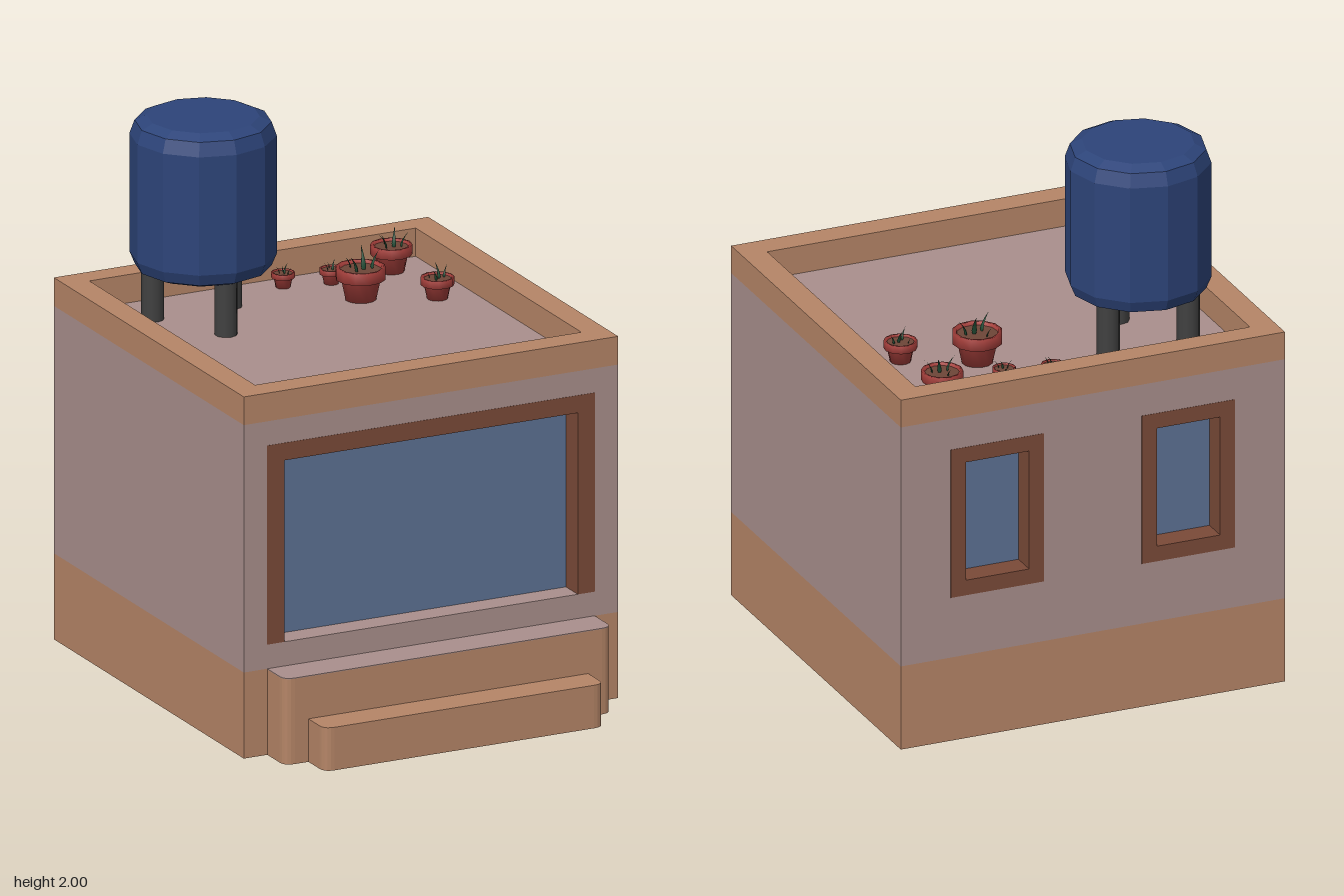
import * as THREE from 'three';

const mat = (color, extra = {}) => {
  const m = new THREE.MeshStandardMaterial(extra);
  m.color.set(color);
  return m;
};
const clay = mat(0xb58567), plaster = mat(0xa98f8c), wood = mat(0x7a4a38), glass = mat(0x5d7194);
const blue = mat(0x2d4479, { flatShading: true }), metal = mat(0x414141);
const red = mat(0xa53f3b, { side: THREE.DoubleSide }), soil = mat(0x6d4638);
const green = mat(0x1f4a33, { side: THREE.DoubleSide });

function add(parent, name, geometry, material, x = 0, y = 0, z = 0) {
  const mesh = new THREE.Mesh(geometry, material);
  mesh.name = name;
  mesh.position.set(x, y, z);
  parent.add(mesh);
  return mesh;
}

const corners = (x0, y0, x1, y1) =>
  [[x0, y0], [x1, y0], [x1, y1], [x0, y1]].map(p => new THREE.Vector2(...p));

// Rectangle [x0, y0, x1, y1] with rectangular holes, extruded along z
function panel(rect, holes, depth) {
  const shape = new THREE.Shape(corners(...rect));
  for (const h of holes) shape.holes.push(new THREE.Path(corners(...h).reverse()));
  return new THREE.ExtrudeGeometry(shape, { depth, bevelEnabled: false });
}

// Step in plan, with its two front corners rounded
function stepGeometry(half, back, front, height, r = 0.04) {
  const s = new THREE.Shape();
  s.moveTo(-half, -back);
  s.lineTo(-half, -front + r);
  s.quadraticCurveTo(-half, -front, -half + r, -front);
  s.lineTo(half - r, -front);
  s.quadraticCurveTo(half, -front, half, -front + r);
  s.lineTo(half, -back);
  return new THREE.ExtrudeGeometry(s, { depth: height, bevelEnabled: false, curveSegments: 5 })
    .rotateX(-Math.PI / 2);
}

// Curved, tapering blade that leans along +x
function leafGeometry() {
  const g = new THREE.ConeGeometry(0.16, 1, 5, 5).translate(0, 0.5, 0);
  const p = g.attributes.position;
  for (let i = 0; i < p.count; i++) {
    const t = p.getY(i);
    const width = t < 0.01 ? 0.5 : 1;
    p.setXYZ(i, p.getX(i) * 0.4 * width + 0.55 * t * t, t, p.getZ(i) * width);
  }
  g.computeVertexNormals();
  return g;
}

// Pot of unit rim radius, scaled to size
function pot(x, z, r, turn) {
  const g = new THREE.Group();
  g.name = 'flowerPot';
  const profile = [[0, 0], [0.62, 0], [0.8, 0.85], [1, 0.85], [1, 1.32], [0.85, 1.32], [0.82, 1.15]]
    .map(p => new THREE.Vector2(...p));
  add(g, 'pot', new THREE.LatheGeometry(profile, 12), red);
  add(g, 'soil', new THREE.CircleGeometry(0.84, 12).rotateX(-Math.PI / 2), soil, 0, 1.2, 0);
  const leaf = leafGeometry();
  [[-0.3, -0.1, 2.6, 0.75], [0.05, 0.1, 0.4, 0.9], [0.25, 0.4, -0.6, 0.7], [0.2, -0.45, 1.4, 0.45]]
    .forEach(([lx, lz, a, s]) => {
      const m = add(g, 'leaf', leaf, green, lx, 1.18, lz);
      m.rotation.y = a;
      m.scale.setScalar(s);
    });
  g.position.set(x, 1.24, z);
  g.rotation.y = turn;
  g.scale.setScalar(r);
  return g;
}

export function createModel() {
  const model = new THREE.Group();
  model.name = 'shopBuilding';

  // Walls: plinth, solid core and two pierced end walls
  const W = 0.74, front = 0.61, back = -0.87, reveal = 0.1, roof = 1.24;
  const shopfront = [-0.648, 0.41, 0.648, 1.15];
  const rears = [[-0.548, 0.55, -0.188, 1.12], [0.188, 0.55, 0.548, 1.12]];
  add(model, 'plinth', new THREE.BoxGeometry(2 * W, 0.32, front - back), clay, 0, 0.16, -0.13);
  add(model, 'wallCore', new THREE.BoxGeometry(2 * W, 0.92, front - back - 2 * reveal), plaster, 0, 0.78, -0.13);
  add(model, 'frontWall', panel([-W, 0.32, W, roof], [shopfront], reveal), plaster, 0, 0, front - reveal);
  add(model, 'backWall', panel([-W, 0.32, W, roof], rears, reveal), plaster, 0, 0, back);

  // Parapet around the roof terrace
  const parapet = panel([-W, -front, W, -back], [[-0.645, -0.51, 0.645, 0.78]], 0.105).rotateX(-Math.PI / 2);
  add(model, 'parapet', parapet, clay, 0, roof, 0);

  // Shopfront: three-sided frame and a recessed pane
  const u = new THREE.Shape([[-0.648, 0.41], [-0.58, 0.41], [-0.58, 1.085], [0.58, 1.085], [0.58, 0.41],
    [0.648, 0.41], [0.648, 1.15], [-0.648, 1.15]].map(p => new THREE.Vector2(...p)));
  add(model, 'shopfrontFrame', new THREE.ExtrudeGeometry(u, { depth: reveal + 0.001, bevelEnabled: false }),
    wood, 0, 0, front - reveal);
  add(model, 'shopfrontGlass', new THREE.BoxGeometry(1.16, 0.675, 0.01), glass, 0, 0.7475, front - reveal + 0.003);

  // Rear windows
  for (const [x0, y0, x1, y1] of rears) {
    const f = 0.058;
    add(model, 'rearWindowFrame', panel([x0, y0, x1, y1], [[x0 + f, y0 + f, x1 - f, y1 - f]], reveal + 0.001),
      wood, 0, 0, back - 0.001);
    add(model, 'rearWindowGlass', new THREE.BoxGeometry(x1 - x0 - 2 * f, y1 - y0 - 2 * f, 0.01), glass,
      (x0 + x1) / 2, (y0 + y1) / 2, back + reveal - 0.003);
  }

  // Entrance steps
  add(model, 'upperStep', stepGeometry(0.647, 0.6, 0.745, 0.317), clay);
  add(model, 'upperTread', stepGeometry(0.647, 0.6, 0.745, 0.003), plaster, 0, 0.317, 0);
  add(model, 'lowerStep', stepGeometry(0.553, 0.7, 0.87, 0.16), clay);

  // Water tank on three legs
  const tank = new THREE.Group();
  tank.name = 'waterTank';
  tank.position.set(-0.34, 0, -0.495);
  model.add(tank);
  const tankProfile = [[0, 1.43], [0.2, 1.43], [0.242, 1.447], [0.26, 1.49],
    [0.26, 1.93], [0.242, 1.98], [0.2, 2], [0, 2]].map(p => new THREE.Vector2(...p));
  add(tank, 'tankBody', new THREE.LatheGeometry(tankProfile, 12), blue);
  for (let i = 0; i < 3; i++) {
    const a = i * Math.PI * 2 / 3;
    add(tank, 'tankLeg', new THREE.CylinderGeometry(0.041, 0.041, 0.21, 10), metal,
      0.178 * Math.sin(a), 1.345, 0.178 * Math.cos(a));
  }

  // Potted plants
  [[0.075, -0.69, 0.042], [0.245, -0.65, 0.042], [0.495, -0.675, 0.075], [0.26, -0.45, 0.09], [0.505, -0.335, 0.06]]
    .forEach(([x, z, r], i) => model.add(pot(x, z, r, i * 0.3)));

  return model;
}
